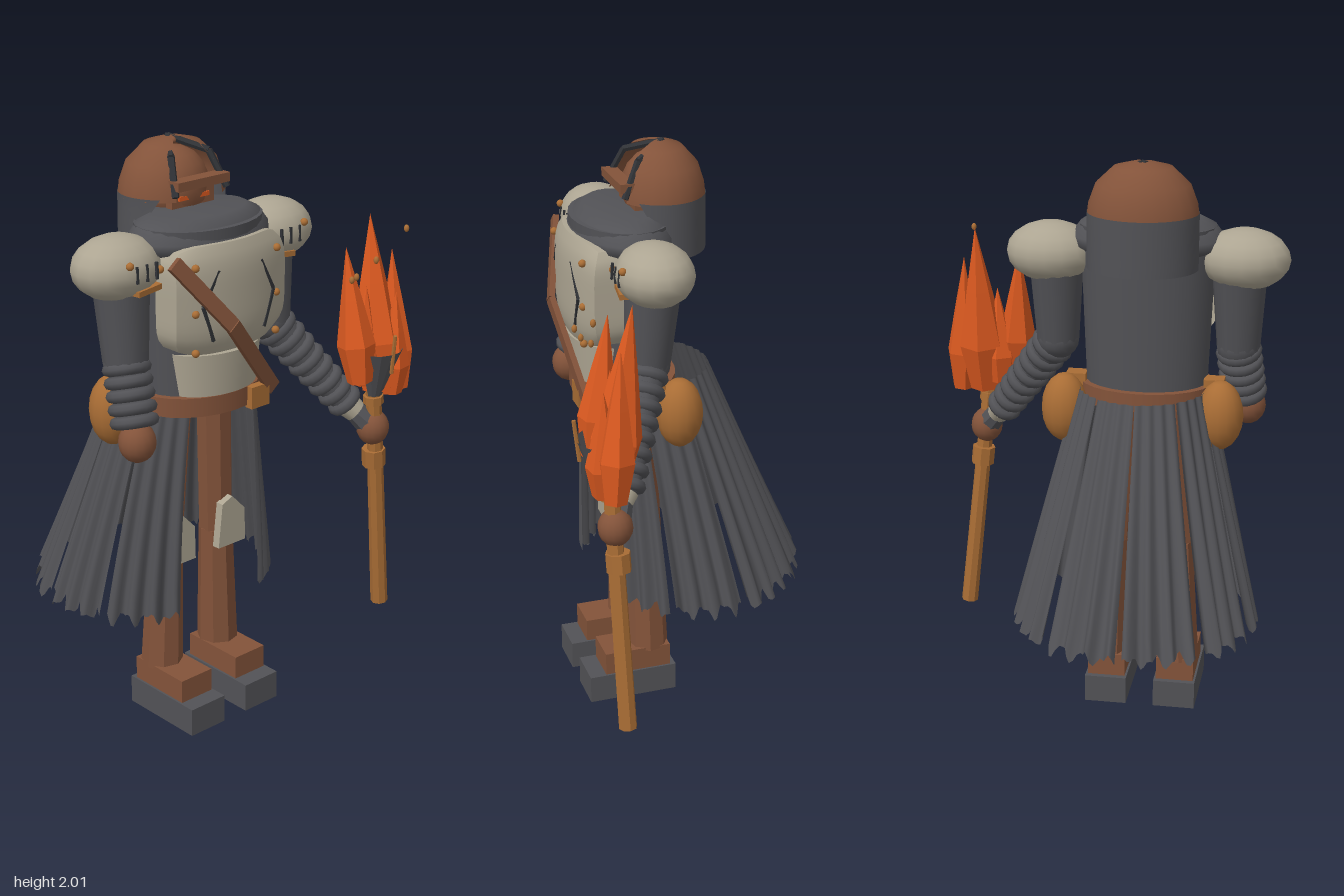
import * as THREE from 'three';

const V = (x, y, z) => new THREE.Vector3(x, y, z);
const mat = (name, color, side = THREE.FrontSide) => {
  const m = new THREE.MeshStandardMaterial({ color, side });
  m.name = name;
  return m;
};

export function createModel() {
  const dark = mat('dark cloth', 0x525256, THREE.DoubleSide);
  const brown = mat('brown leather', 0x83533a, THREE.DoubleSide);
  const tan = mat('tan wood', 0xa96d35);
  const bone = mat('bone plate', 0xada592);
  const fire = mat('flame orange', 0xdd5a20);
  const black = mat('black iron', 0x303236);

  const model = new THREE.Group();
  const body = new THREE.Group();
  body.name = 'body';
  body.position.x = -0.14;
  model.add(body);

  const add = (name, geo, m, p = V(0, 0, 0), parent = body) => {
    const mesh = new THREE.Mesh(geo, m);
    mesh.name = name;
    mesh.position.copy(p);
    parent.add(mesh);
    return mesh;
  };
  const box = (w, h, d) => new THREE.BoxGeometry(w, h, d);
  const ball = (rx, ry = rx, rz = rx) => new THREE.SphereGeometry(1, 16, 10).scale(rx, ry, rz);
  const flat = g => { const f = g.toNonIndexed(); f.computeVertexNormals(); return f; };
  const aim = (mesh, a, b) => {
    mesh.quaternion.setFromUnitVectors(V(0, 1, 0), b.clone().sub(a).normalize());
    return mesh;
  };
  // Round bar from a (radius ra) to b (radius rb)
  const bar = (name, a, b, ra, rb, m, parent = body, sides = 12) => {
    const len = a.distanceTo(b);
    let g = new THREE.CylinderGeometry(rb, ra, len, sides);
    if (sides < 12) g = flat(g);
    return aim(add(name, g.translate(0, len / 2, 0), m, a, parent), a, b);
  };
  // Flat strap from a to b, its broad side facing forward
  const strap = (name, a, b, w, d, m) => {
    const mesh = add(name, box(w, d, a.distanceTo(b)), m, a.clone().lerp(b, 0.5));
    mesh.up.set(0, 0, 1);
    mesh.lookAt(b.clone().add(body.position));
    mesh.position.copy(a.clone().lerp(b, 0.5));
    return mesh;
  };
  const strapFix = (name, a, b, w, d, m) => {
    const mesh = strap(name, a, b, w, d, m);
    const dir = b.clone().sub(a).normalize();
    const side = V(0, 0, 1).cross(dir).normalize();
    mesh.quaternion.setFromRotationMatrix(
      new THREE.Matrix4().makeBasis(side, dir.clone().cross(side), dir));
    return mesh;
  };
  // Cloth sheet: rule maps u (across) and v (0 top, 1 bottom) to a point
  const sheet = (nu, nv, rule) => {
    const g = new THREE.PlaneGeometry(1, 1, nu, nv);
    const { position: p, uv } = g.attributes;
    for (let i = 0; i < p.count; i++) p.setXYZ(i, ...rule(uv.getX(i), 1 - uv.getY(i)));
    g.computeVertexNormals();
    return g;
  };

  // Torso, belt, collar
  add('torso', new THREE.CylinderGeometry(0.235, 0.21, 0.6, 24).scale(1, 1, 0.72), dark, V(0, 1.46, 0.14));
  add('belt', new THREE.CylinderGeometry(0.235, 0.235, 0.065, 24).scale(1, 1, 0.76), brown, V(0, 1.175, 0.14));
  add('collar', new THREE.LatheGeometry([[0.23, 1.67], [0.268, 1.69], [0.265, 1.72], [0.23, 1.765], [0.18, 1.79], [0, 1.79]]
    .map(([x, y]) => new THREE.Vector2(x, y)), 28).scale(1, 1, 0.64), dark, V(0, 0, 0.14));

  // Bulged chest plate with rounded corners
  const chest = new THREE.BoxGeometry(0.47, 0.36, 0.1, 14, 12, 1);
  const cp = chest.attributes.position;
  for (let i = 0; i < cp.count; i++) {
    const x = cp.getX(i), y = cp.getY(i), u = x / 0.235, v = y / 0.18;
    cp.setXYZ(i, x * (1 - 0.13 * v ** 6), y * (1 - 0.1 * u ** 6),
      cp.getZ(i) - 0.05 * u * u - (cp.getZ(i) > 0 ? 0.025 * v ** 4 : 0));
  }
  chest.computeVertexNormals();
  add('chestPlate', chest, bone, V(0, 1.54, 0.3));
  for (const [y, r] of [[1.315, 0.19], [1.24, 0.182]])
    add('bellyBand', new THREE.CylinderGeometry(r, r - 0.008, 0.075, 20, 1, false, -Math.PI / 2, Math.PI)
      .scale(1, 1, 0.7), bone, V(0, y, 0.195));
  for (const s of [-1, 1]) {
    for (const y of [1.66, 1.51, 1.38]) add('chestRivet', ball(0.013), tan, V(s * 0.175, y, 0.322));
    strapFix('chestMark', V(s * 0.09, 1.64, 0.336), V(s * 0.152, 1.53, 0.332), 0.01, 0.009, black);
    strapFix('chestMark', V(s * 0.152, 1.53, 0.332), V(s * 0.11, 1.41, 0.334), 0.01, 0.009, black);
  }
  strapFix('shoulderStrap', V(-0.245, 1.685, 0.3), V(-0.06, 1.46, 0.37), 0.05, 0.02, brown);
  strapFix('shoulderStrap', V(-0.06, 1.46, 0.37), V(0.17, 1.18, 0.32), 0.05, 0.02, brown);
  add('buckle', box(0.08, 0.075, 0.03), tan, V(0.1, 1.17, 0.32));

  // Hood: leather cap, cloth curtain, iron frame and masked face
  add('cap', new THREE.LatheGeometry([[0.187, 1.82], [0.182, 1.86], [0.158, 1.925], [0.1, 1.98], [0.035, 1.997], [0, 2]]
    .map(([x, y]) => new THREE.Vector2(x, y)), 18, 0.55, Math.PI * 2 - 1.1).scale(1, 1, 0.85), brown, V(0, 0, 0.01));
  add('hoodCurtain', sheet(24, 5, (u, v) => {
    const a0 = 0.85 + 0.75 * v, a = a0 + u * (Math.PI * 2 - 2 * a0);
    return [0.188 * Math.sin(a), 1.83 - 0.19 * v, 0.01 + 0.16 * Math.cos(a)];
  }), dark);
  add('head', ball(0.125, 0.13, 0.115), brown, V(0, 1.84, 0.015));
  add('faceMask', box(0.18, 0.1, 0.03), brown, V(0, 1.81, 0.1));
  add('visorBar', box(0.22, 0.03, 0.05), brown, V(0, 1.875, 0.145));
  for (const s of [-1, 1]) {
    add('eye', box(0.05, 0.014, 0.008), fire, V(s * 0.04, 1.82, 0.118));
    bar('hoodFrame', V(0, 1.995, -0.01), V(s * 0.08, 1.955, 0.1), 0.012, 0.012, black, body, 6);
    bar('hoodFrame', V(s * 0.08, 1.955, 0.1), V(s * 0.11, 1.84, 0.155), 0.012, 0.012, black, body, 6);
  }
  add('hoodKnob', ball(0.014, 0.014, 0.03), brown, V(0, 1.985, 0.0));

  // Pleated skirt panels, open at the front
  const rad = Math.PI / 180;
  for (const s of [-1, 1]) for (let k = 0; k < 4; k++)
    add('skirtPanel', sheet(28, 10, (u, v) => {
      const start = (36 - 12 * v) * rad, span = (Math.PI - start) / 4;
      const a = start + span * (k + 0.012 + 0.03 * v + u * (0.976 - 0.06 * v));
      const pleat = (0.004 + 0.012 * v) * Math.sin(u * 22 + k * 2);
      const hem = v * v * (0.018 * Math.sin(u * 19 + k) + 0.012 * Math.sin(u * 41 + s));
      const rx = 0.225 + 0.19 * v + pleat, rz = 0.23 + 0.155 * v + pleat;
      return [s * rx * Math.sin(a), 1.21 - 0.79 * v + hem, 0.07 - 0.17 * v + rz * Math.cos(a)];
    }), dark);

  for (const s of [-1, 1]) {
    // Hip pouches
    add('pouch', ball(0.08, 0.122, 0.08), tan, V(s * 0.27, 1.13, 0.02));
    add('pouchFlap', box(0.07, 0.09, 0.06), tan, V(s * 0.24, 1.19, 0.1));
    add('pouchStud', ball(0.014), tan, V(s * 0.255, 1.18, 0.135));

    // Legs and boots
    const hip = V(s * 0.085, 1.2, 0.12), knee = V(s * 0.115, 0.62, 0.1), ankle = V(s * 0.13, 0.17, 0.095);
    bar('thigh', hip, knee, 0.062, 0.06, brown, body, 8);
    bar('shin', knee, ankle, 0.06, 0.073, brown, body, 8);
    add('boot', box(0.135, 0.085, 0.24), brown, V(s * 0.125, 0.14, 0.15));
    add('sole', box(0.15, 0.1, 0.32), dark, V(s * 0.125, 0.05, 0.17));
    const plate = new THREE.Shape([[-0.062, 0], [0.062, 0], [0.058, 0.12], [0, 0.18], [-0.045, 0.16]]
      .map(([x, y]) => new THREE.Vector2(x, y)));
    add('kneePlate', new THREE.ExtrudeGeometry(plate, { depth: 0.03, bevelEnabled: false }), bone,
      V(s * 0.115, 0.575, 0.155));

    // Shoulders and upper arms
    add('shoulderPlate', ball(0.155, 0.105, 0.13), bone, V(s * 0.332, 1.655, 0.125));
    for (const [x, y, z] of [[0.375, 1.69, 0.245], [0.25, 1.655, 0.24]])
      add('shoulderRivet', ball(0.013), tan, V(s * x, y, z));
    for (const x of [0.27, 0.31, 0.35])
      strapFix('shoulderMark', V(s * x, 1.685, 0.247), V(s * x, 1.63, 0.25), 0.008, 0.009, black);
    strapFix('shoulderTrim', V(s * 0.23, 1.595, 0.215), V(s * 0.34, 1.59, 0.23), 0.018, 0.03, tan);
    const elbow = V(s * 0.315, 1.34, 0.145);
    bar('upperArm', V(s * 0.315, 1.62, 0.125), elbow, 0.095, 0.075, dark);
    add('elbow', ball(0.075), dark, elbow);

    // Wrapped forearms
    const wrist = s < 0 ? V(-0.335, 1.15, 0.21) : V(0.555, 1.01, 0.3);
    bar('forearm', elbow, wrist, 0.065, 0.045, dark);
    const n = s < 0 ? 5 : 8;
    for (let i = 0; i < n; i++) {
      const t = 0.1 + 0.85 * i / (n - 1), r = s < 0 ? 0.06 : 0.058 - 0.014 * t;
      const ring = add('armWrap', new THREE.TorusGeometry(r, 0.021, 8, 18).rotateX(Math.PI / 2), dark,
        elbow.clone().lerp(wrist, t));
      aim(ring, elbow, wrist);
    }
    if (s < 0) add('hand', ball(0.062, 0.068, 0.062), brown, V(-0.347, 1.1, 0.235));
    else {
      bar('cuff', wrist, V(0.575, 0.985, 0.32), 0.045, 0.04, bone);
      bar('glove', V(0.565, 0.995, 0.31), V(0.625, 0.925, 0.355), 0.035, 0.05, dark, body, 8);
      add('hand', ball(0.058, 0.064, 0.058), brown, V(0.625, 0.925, 0.355));
    }
  }

  // Torch: staff, collar, iron cup, flames and embers
  const torch = new THREE.Group();
  torch.name = 'torch';
  model.add(torch);
  bar('staff', V(0.565, 0.215, 0.345), V(0.467, 1.12, 0.365), 0.031, 0.027, tan, torch, 8);
  bar('staffCollar', V(0.504, 0.775, 0.35), V(0.497, 0.84, 0.352), 0.042, 0.042, tan, torch, 8);
  bar('staffCollar', V(0.476, 1.02, 0.363), V(0.473, 1.05, 0.364), 0.036, 0.036, tan, torch, 8);
  add('torchCup', flat(new THREE.CylinderGeometry(0.095, 0.03, 0.17, 6, 1, true, -1.4, 2.5)), dark,
    V(0.46, 1.145, 0.375), torch);
  bar('peg', V(0.455, 1.16, 0.46), V(0.45, 1.3, 0.475), 0.007, 0.007, tan, torch, 6);
  const flames = [ // base, tip, radius
    [V(0.49, 1.07, 0.37), V(0.5, 1.68, 0.295), 0.085],
    [V(0.375, 1.13, 0.39), V(0.35, 1.6, 0.33), 0.066],
    [V(0.575, 1.06, 0.38), V(0.555, 1.56, 0.35), 0.062],
    [V(0.43, 1.1, 0.35), V(0.435, 1.45, 0.35), 0.06],
    [V(0.52, 1.06, 0.4), V(0.53, 1.42, 0.4), 0.06],
  ];
  flames.forEach(([a, b, r], i) => {
    const len = a.distanceTo(b);
    const prof = [[0, 0], [0.65, 0], [1, 0.28], [0.55, 0.62], [0, 1]]
      .map(([x, y]) => new THREE.Vector2(x * r, y * len));
    aim(add('flame', flat(new THREE.LatheGeometry(prof, 6, i * 0.7)), fire, a, torch), a, b);
  });
  for (const p of [V(0.32, 1.52, 0.41), V(0.375, 1.575, 0.445), V(0.535, 1.65, 0.43), V(0.33, 1.5, 0.38)])
    add('ember', ball(0.009, 0.013, 0.009), tan, p, torch);

  return model;
}
